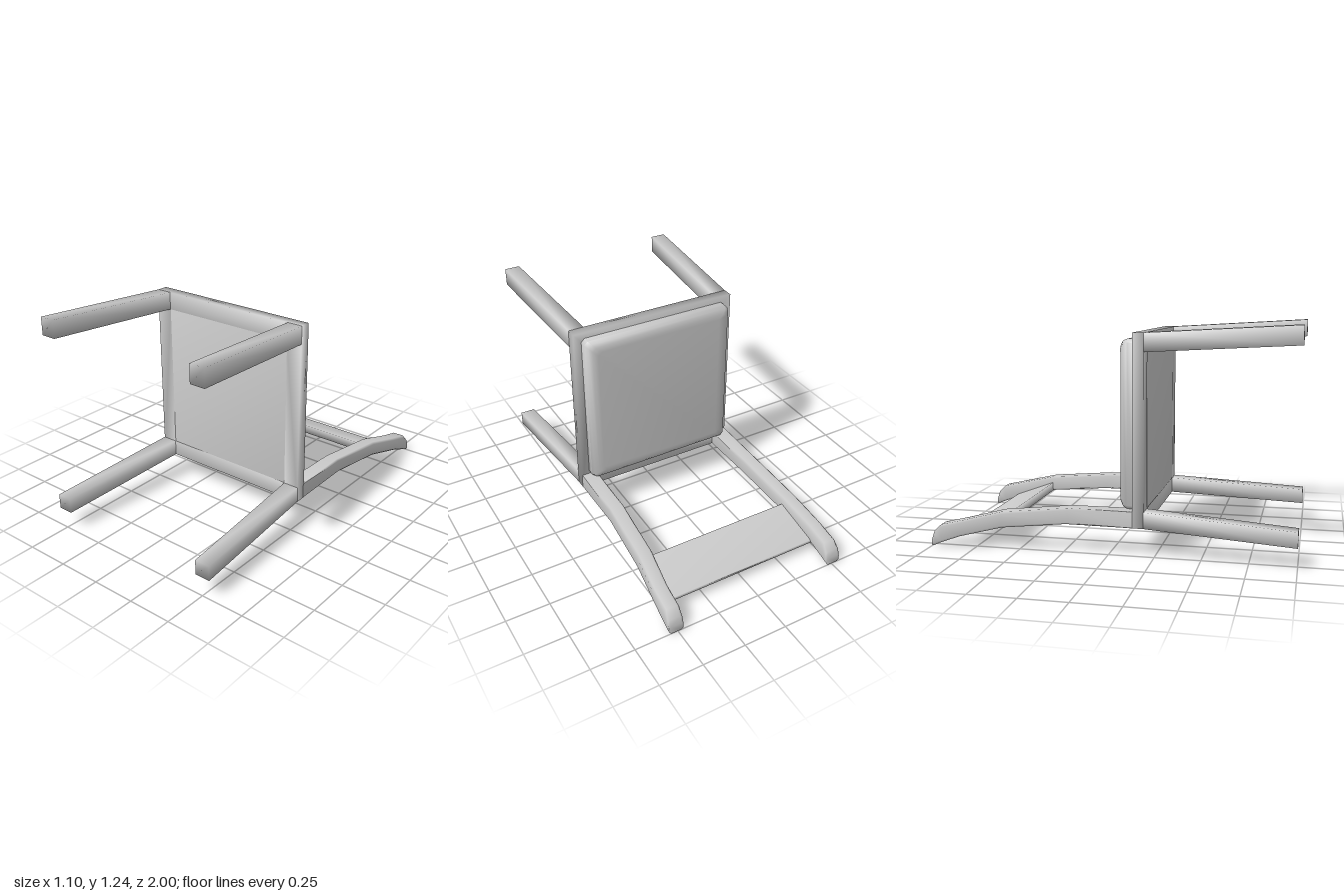
import * as THREE from 'three';
import { mergeVertices, toCreasedNormals } from 'three/addons/utils/BufferGeometryUtils.js';

const grey = new THREE.MeshStandardMaterial({ color: 0xcccccc });

// Rectangular cross-section, counter-clockwise from +z, with optional cut corners;
// z may differ between its top and bottom edge
function ring(xa, xb, yBot, yTop, zBot, zTop = zBot, c = 0) {
  const x0 = Math.min(xa, xb), x1 = Math.max(xa, xb);
  const flat = c
    ? [[x0 + c, yBot], [x1 - c, yBot], [x1, yBot + c], [x1, yTop - c],
       [x1 - c, yTop], [x0 + c, yTop], [x0, yTop - c], [x0, yBot + c]]
    : [[x0, yBot], [x1, yBot], [x1, yTop], [x0, yTop]];
  return flat.map(([x, y]) => [x, y, zBot + (zTop - zBot) * (y - yBot) / (yTop - yBot)]);
}

// Skin over rings listed from back to front, closed at both ends, smooth normals
function loft(rings) {
  const n = rings[0].length, last = (rings.length - 1) * n, index = [];
  for (let i = 0; i < rings.length - 1; i++) {
    for (let j = 0; j < n; j++) {
      const a = i * n + j, b = i * n + (j + 1) % n;
      index.push(a, b, b + n, a, b + n, a + n);
    }
  }
  for (let j = 1; j < n - 1; j++) {
    index.push(0, j + 1, j, last, last + j, last + j + 1);
  }
  const g = new THREE.BufferGeometry();
  g.setAttribute('position', new THREE.Float32BufferAttribute(rings.flat(2), 3));
  g.setIndex(index);
  g.computeVertexNormals();
  return g;
}

function rectPath(path, x, y0, y1) {
  path.moveTo(-x, y0).lineTo(x, y0).lineTo(x, y1).lineTo(-x, y1).closePath();
  return path;
}

export function createModel() {
  const chair = new THREE.Group();
  chair.name = 'chair';
  const add = (name, geometry) => {
    const mesh = new THREE.Mesh(geometry, grey);
    mesh.name = name;
    chair.add(mesh);
  };

  // Seat frame: four rails around an opening, softly shaded
  const outline = rectPath(new THREE.Shape(), 0.5, 0.153, 1.19);
  outline.holes.push(rectPath(new THREE.Path(), 0.41, 0.243, 1.09));
  let frame = new THREE.ExtrudeGeometry(outline, { depth: 0.062, bevelEnabled: false });
  frame.translate(0, 0, 0.13);
  frame.deleteAttribute('normal');
  frame.deleteAttribute('uv');
  frame = mergeVertices(frame);
  frame.computeVertexNormals();
  add('seatFrame', frame);

  // Underside panel filling the frame
  add('seatPanel', loft([
    ring(-0.41, 0.41, 0.243, 1.09, 0.12),
    ring(-0.41, 0.41, 0.243, 1.09, 0.19)]));

  // Cushion with rounded outer edge: [inset, z]
  const cushion = [[0.06, 0.045], [0.03, 0.05], [0.01, 0.065], [0, 0.09], [0, 0.13]];
  add('seatCushion', toCreasedNormals(loft(cushion.map(([d, z]) =>
    ring(-0.455 + d, 0.455 - d, 0.243 + d, 1.155 - d, z, z, 0.02))), 0.9));

  // Back posts, tip to seat: [xInner, xOuter, yBottom, yTop, zBottom, zTop, corner cut]
  const post = [
    [0.465, 0.55, 0, 0.045, -1, -0.998, 0.012],
    [0.465, 0.55, 0.005, 0.085, -0.985, -0.985, 0.012],
    [0.462, 0.55, 0.022, 0.123, -0.945, -0.945, 0.012],
    [0.458, 0.545, 0.06, 0.155, -0.84, -0.81, 0.012],
    [0.432, 0.522, 0.118, 0.207, -0.6, -0.6, 0.012],
    [0.41, 0.5, 0.153, 0.243, -0.24, -0.22, 0.01],
    [0.41, 0.5, 0.153, 0.243, 0.135, 0.135, 0.002],
  ];

  for (const [side, s] of [['left', 1], ['right', -1]]) {
    add(side + 'BackPost', loft(post.map(([a, b, ...r]) => ring(s * a, s * b, ...r))));
    // Splayed legs, rooted inside the frame
    add(side + 'FrontLeg', loft([
      ring(s * 0.411, s * 0.499, 1.091, 1.189, 0.14),
      ring(s * 0.41, s * 0.5, 1.09, 1.19, 0.19),
      ring(s * 0.458, s * 0.546, 1.137, 1.237, 1)]));
    add(side + 'BackLeg', loft([
      ring(s * 0.411, s * 0.499, 0.154, 0.242, 0.14),
      ring(s * 0.41, s * 0.5, 0.153, 0.243, 0.19),
      ring(s * 0.458, s * 0.546, 0.11, 0.195, 1)]));
  }

  // Wedge-shaped backrest slat between the posts, thin at its far edge
  add('backSlat', loft([
    ring(-0.47, 0.47, 0.055, 0.075, -0.85),
    ring(-0.45, 0.45, 0.117, 0.17, -0.6)]));

  return chair;
}
